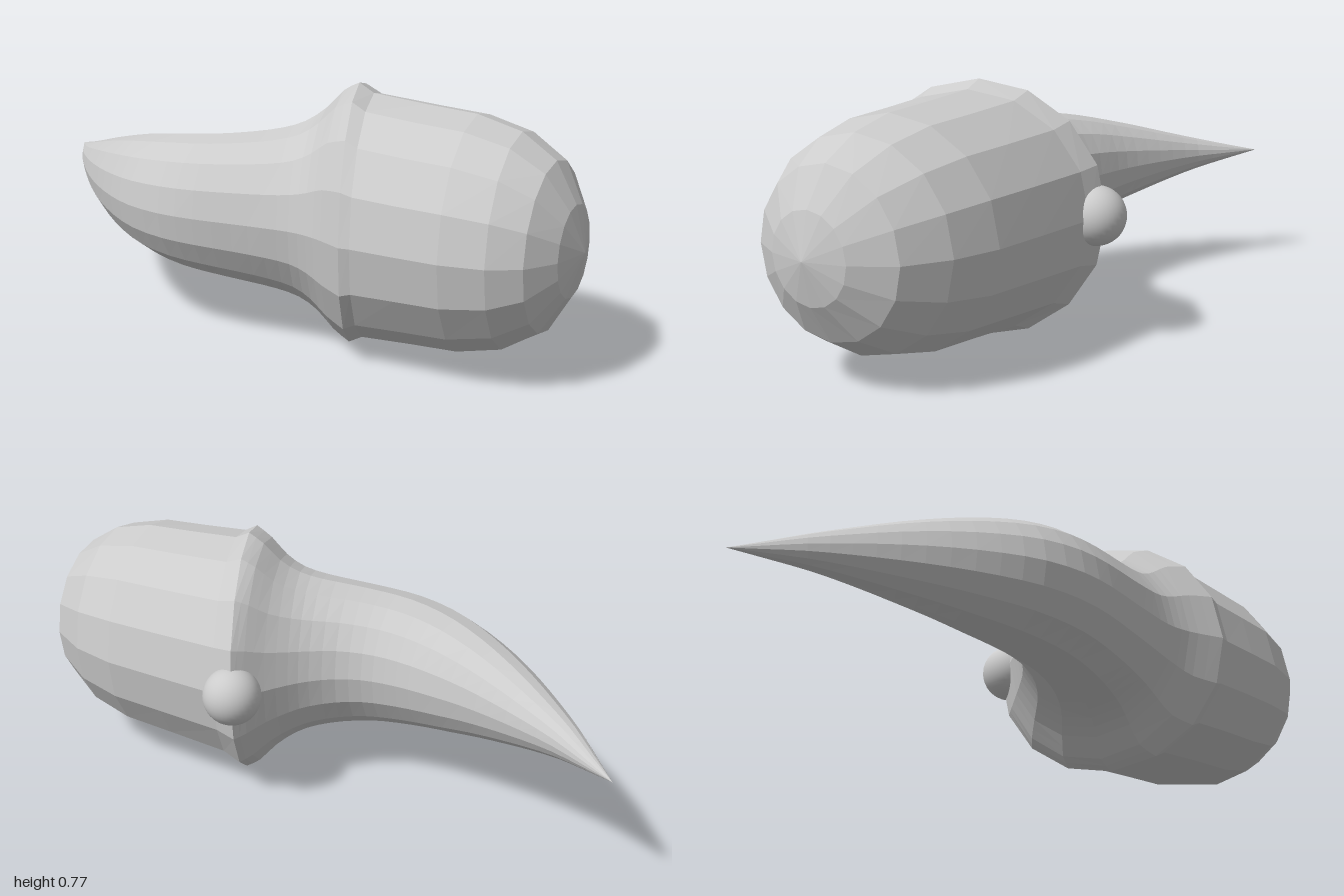
import * as THREE from 'three';

const SIDES = 16, MID_Y = 0.39;

// Each section: back edge x, z, front edge x, z, vertical radius; ordered toward +x
const SEAM = [0.13, -0.325, 0.44, 0.36, 0.385];
const HORN = [
  [-1, -0.18, -1, -0.18, 0],
  [-0.89, -0.13, -0.93, -0.1, 0.025],
  [-0.78, -0.08, -0.85, -0.01, 0.053],
  [-0.67, -0.045, -0.76, 0.075, 0.083],
  [-0.56, -0.018, -0.66, 0.16, 0.115],
  [-0.46, 0, -0.55, 0.24, 0.144],
  [-0.37, 0.007, -0.43, 0.31, 0.17],
  [-0.28, 0.01, -0.31, 0.36, 0.19],
  [-0.2, 0.005, -0.18, 0.38, 0.205],
  [-0.13, -0.01, -0.06, 0.37, 0.215],
  [-0.06, -0.045, 0.06, 0.345, 0.228],
  [0, -0.1, 0.16, 0.325, 0.243],
  [0.04, -0.155, 0.24, 0.312, 0.265],
  [0.08, -0.225, 0.3, 0.315, 0.305],
  [0.11, -0.285, 0.36, 0.33, 0.358],
  SEAM,
];
const BULB = [
  SEAM,
  [0.2, -0.315, 0.47, 0.352, 0.36],
  [0.42, -0.315, 0.6, 0.345, 0.347],
  [0.6, -0.313, 0.73, 0.335, 0.338],
  [0.75, -0.285, 0.85, 0.3, 0.305],
  [0.88, -0.22, 0.93, 0.24, 0.24],
  [0.96, -0.11, 0.98, 0.14, 0.13],
  [1, 0.01, 1, 0.01, 0],
];

// Insert interpolated sections for a smoother run along the length
function refine(sections, factor) {
  const back = new THREE.CatmullRomCurve3(sections.map(s => new THREE.Vector3(s[0], 0, s[1])), false, 'catmullrom');
  const front = new THREE.CatmullRomCurve3(sections.map(s => new THREE.Vector3(s[2], s[4], s[3])), false, 'catmullrom');
  const n = (sections.length - 1) * factor;
  return Array.from({ length: n + 1 }, (_, i) => {
    const b = back.getPoint(i / n), f = front.getPoint(i / n);
    return [b.x, b.z, f.x, f.z, f.y];
  });
}

// Skin elliptical rings between the sections
function skin(sections) {
  const pos = [], index = [];
  for (const [bx, bz, fx, fz, ry] of sections) {
    for (let j = 0; j < SIDES; j++) {
      const a = (j / SIDES) * Math.PI * 2, c = Math.cos(a);
      pos.push((bx + fx) / 2 + c * (fx - bx) / 2, MID_Y + Math.sin(a) * ry, (bz + fz) / 2 + c * (fz - bz) / 2);
    }
  }
  const last = sections.length - 1;
  for (let i = 0; i < last; i++) {
    for (let j = 0; j < SIDES; j++) {
      const k = (j + 1) % SIDES;
      const a = i * SIDES + j, b = a + SIDES, c = (i + 1) * SIDES + k, d = i * SIDES + k;
      if (sections[i + 1][4] > 0) index.push(a, b, c);
      else index.push(a, b, d);
      if (sections[i][4] > 0 && sections[i + 1][4] > 0) index.push(a, c, d);
    }
  }
  const geo = new THREE.BufferGeometry();
  geo.setAttribute('position', new THREE.Float32BufferAttribute(pos, 3));
  geo.setIndex(index);
  const flat = geo.toNonIndexed();
  flat.computeVertexNormals();
  return flat;
}

export function createModel() {
  const group = new THREE.Group();
  group.name = 'curvedHorn';
  const faceted = new THREE.MeshStandardMaterial({ color: 0xcccccc, flatShading: true });
  const smooth = new THREE.MeshStandardMaterial({ color: 0xcccccc });
  const add = (name, geometry, material) => {
    const mesh = new THREE.Mesh(geometry, material);
    mesh.name = name;
    group.add(mesh);
    return mesh;
  };

  // Tapering curved horn and the rounded bulb it grows from
  add('horn', skin(refine(HORN, 2)), faceted);
  add('bulb', skin(BULB), faceted);

  // Ball set on the back of the seam
  add('ball', new THREE.SphereGeometry(0.088, 32, 20), smooth).position.set(0.143, MID_Y, -0.298);

  return group;
}
